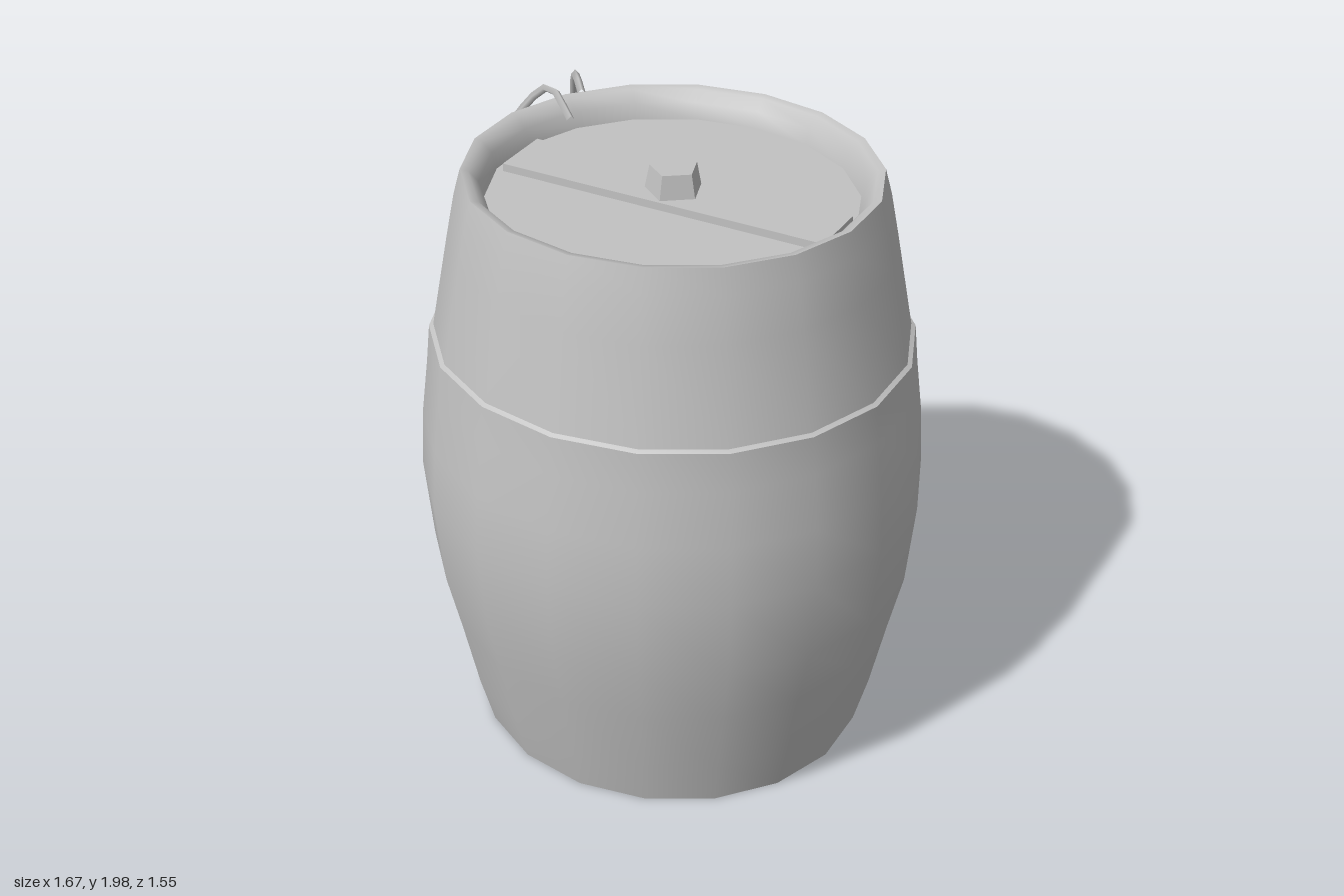
import * as THREE from 'three';
import { toCreasedNormals } from 'three/addons/utils/BufferGeometryUtils.js';

export function createModel() {
  const model = new THREE.Group();
  const grey = new THREE.MeshStandardMaterial({ color: 0xc2c2c2 });
  grey.name = 'weathered grey';

  function add(name, geometry, x = 0, y = 0, z = 0) {
    const mesh = new THREE.Mesh(geometry, grey);
    mesh.name = name;
    mesh.position.set(x, y, z);
    model.add(mesh);
    return mesh;
  }

  // Barrel: one profile from the recessed base, up the staves, over the rim to the lid
  const profile = [
    [0, 0.12], [0.56, 0.12], [0.58, 0.01], [0.645, 0.01],
    [0.69, 0.18], [0.74, 0.42], [0.785, 0.62], [0.81, 0.9],
    [0.798, 1.1], [0.775, 1.28], [0.762, 1.405], [0.748, 1.412],
    [0.69, 1.72], [0.662, 1.86], [0.64, 1.94], [0.615, 1.935],
    [0.585, 1.9], [0.57, 1.85], [0, 1.85],
  ].map(([r, y]) => new THREE.Vector2(r, y));
  const barrel = new THREE.LatheGeometry(profile, 18);
  barrel.scale(1, 1, 0.955);
  add('barrel', toCreasedNormals(barrel, 0.7), 0.035);

  // Shallow crossbar over the lid, and the bung in its middle
  add('lidCrossbar', new THREE.BoxGeometry(1.08, 0.03, 0.2), 0.04, 1.86, 0);
  const bung = new THREE.CylinderGeometry(0.075, 0.095, 0.1, 5);
  add('bung', toCreasedNormals(bung, 0.5), 0.04, 1.9, 0);

  // Rope loop hanging over the rim, with a knotted tail
  function rope(name, points, radius) {
    const curve = new THREE.CatmullRomCurve3(
      points.map((p) => new THREE.Vector3(...p)), false, 'centripetal');
    add(name, new THREE.TubeGeometry(curve, points.length * 3, radius, 4));
  }
  rope('ropeLoop', [
    [-0.42, 1.93, -0.17], [-0.54, 1.985, -0.24], [-0.7, 1.8, -0.22],
    [-0.81, 1.58, -0.19], [-0.825, 1.37, -0.19], [-0.8, 1.3, -0.31],
    [-0.75, 1.3, -0.45], [-0.66, 1.39, -0.52], [-0.65, 1.56, -0.535],
    [-0.62, 1.78, -0.52], [-0.55, 1.96, -0.42], [-0.48, 1.94, -0.34],
  ], 0.013);
  rope('ropeTailFront', [[-0.8, 1.32, -0.28], [-0.78, 1.24, -0.38], [-0.75, 1.17, -0.45]], 0.014);
  rope('ropeTailBack', [[-0.7, 1.35, -0.49], [-0.74, 1.25, -0.48], [-0.75, 1.17, -0.45]], 0.014);

  return model;
}
